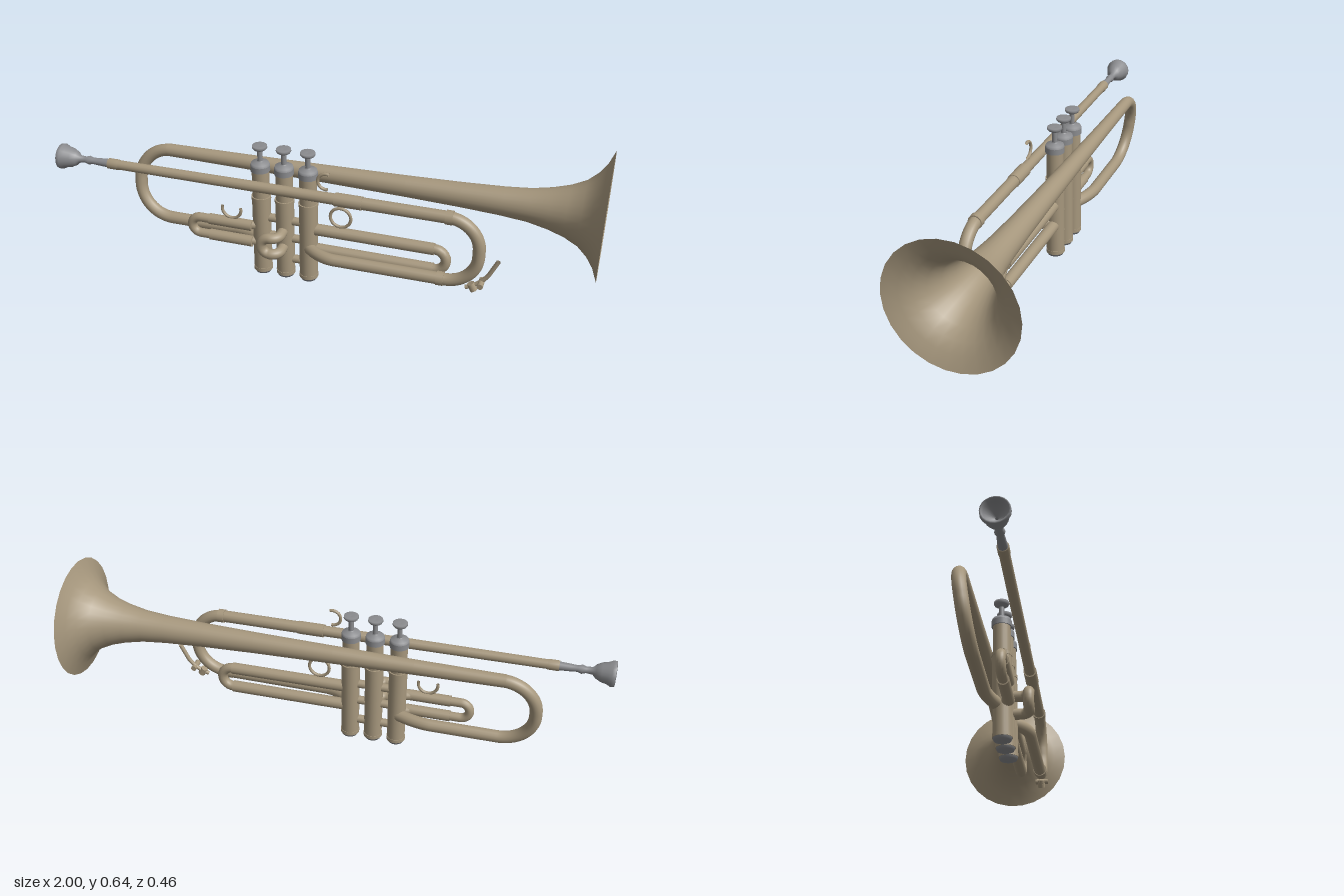
import * as THREE from 'three';

const brass = new THREE.MeshStandardMaterial({ color: 0xa6977d, side: THREE.DoubleSide });
brass.name = 'brass';
const silver = new THREE.MeshStandardMaterial({ color: 0x8b8c8f, side: THREE.DoubleSide });
silver.name = 'silver';

const V = (p) => new THREE.Vector3(...p);

// Path through points with circular-looking rounded corners
function roundedPath(points, radius) {
  const pts = points.map(V), path = new THREE.CurvePath();
  let from = pts[0];
  const line = (to) => {
    if (from.distanceTo(to) > 1e-4) path.add(new THREE.LineCurve3(from, to));
    from = to;
  };
  for (let i = 1; i < pts.length - 1; i++) {
    const c = pts[i], k = 0.552;
    const before = c.clone().sub(pts[i - 1]), after = pts[i + 1].clone().sub(c);
    const rIn = Math.min(radius, before.length() * (i > 1 ? 0.5 : 1));
    const rOut = Math.min(radius, after.length() * (i < pts.length - 2 ? 0.5 : 1));
    const r = Math.min(rIn, rOut);
    const a = c.clone().addScaledVector(before.normalize(), -r);
    const b = c.clone().addScaledVector(after.normalize(), r);
    line(a);
    path.add(new THREE.CubicBezierCurve3(a, a.clone().lerp(c, k), b.clone().lerp(c, k), b));
    from = b;
  }
  line(pts[pts.length - 1]);
  return path;
}

export function createModel() {
  const root = new THREE.Group();
  root.name = 'trumpet';

  const add = (name, geometry, material = brass, pos = [0, 0, 0], parent = root) => {
    const mesh = new THREE.Mesh(geometry, material);
    mesh.name = name;
    mesh.position.set(...pos);
    parent.add(mesh);
    return mesh;
  };
  const pipe = (name, points, r, corner = 0.04, segments = 90) =>
    add(name, new THREE.TubeGeometry(roundedPath(points, corner), segments, r, 14));
  // Lathe lying along x; profile pairs are [x, radius]
  const latheX = (name, profile, y, z, material, sides) => {
    const g = new THREE.LatheGeometry(profile.map(([x, r]) => new THREE.Vector2(r, x)), sides);
    return add(name, g.rotateZ(-Math.PI / 2), material, [0, y, z]);
  };
  // Short sleeve around a pipe running along x
  const ferrule = (name, x, y, z, r, length) =>
    add(name, new THREE.CylinderGeometry(r, r, length, 16).rotateZ(Math.PI / 2), brass, [x, y, z]);
  const hook = (name, pos, r, arc, start, tube = 0.006) =>
    add(name, new THREE.TorusGeometry(r, tube, 8, 28, arc).rotateZ(start), brass, pos);

  // Bell and its rear bend into the first valve
  latheX('bell', [[-0.63, 0.024], [-0.3, 0.028], [0, 0.033], [0.3, 0.039], [0.5, 0.045], [0.65, 0.052],
    [0.74, 0.06], [0.81, 0.074], [0.87, 0.092], [0.92, 0.116], [0.955, 0.147], [0.98, 0.181], [1, 0.228]],
  0.412, 0, brass, 26);
  pipe('bellBend', [[-0.6, 0.412, 0], [-0.745, 0.412, 0], [-0.745, 0.135, 0.037],
    [-0.29, 0.135, 0.037], [-0.225, 0.135, 0.075]], 0.0235, 0.13, 140);

  // Mouthpiece
  latheX('mouthpiece', [[-0.95, 0.005], [-0.965, 0.025], [-0.985, 0.037], [-1, 0.042], [-0.998, 0.047],
    [-0.985, 0.048], [-0.972, 0.041], [-0.95, 0.036], [-0.93, 0.026], [-0.918, 0.014], [-0.895, 0.012],
    [-0.88, 0.017], [-0.865, 0.012], [-0.84, 0.014], [-0.77, 0.018]], 0.406, 0.155, silver, 20);

  // Lead pipe and main tuning slide
  latheX('leadPipe', [[-0.8, 0.016], [-0.8, 0.02], [-0.76, 0.02], [-0.755, 0.018], [0.1, 0.021]],
    0.406, 0.155, brass, 16);
  pipe('mainTuningSlide', [[0.08, 0.406, 0.155], [0.6, 0.406, 0.155], [0.6, 0.15, 0.155],
    [0, 0.145, 0.152], [-0.043, 0.145, 0.09]], 0.0225, 0.115, 140);
  ferrule('slideSleeve', 0.13, 0.406, 0.155, 0.025, 0.1);
  for (const [x, y] of [[0.49, 0.406], [0.47, 0.15]]) ferrule('slideFerrule', x, y, 0.155, 0.026, 0.025);

  // First valve slide
  pipe('firstValveSlide', [[-0.225, 0.207, 0.09], [-0.27, 0.207, 0.11], [-0.498, 0.207, 0.11],
    [-0.498, 0.138, 0.11], [-0.27, 0.138, 0.11], [-0.225, 0.138, 0.09]], 0.0175, 0.035);
  for (const y of [0.207, 0.138]) ferrule('firstSlideSleeve', -0.34, y, 0.11, 0.021, 0.17);
  hook('thumbSaddle', [-0.335, 0.265, 0.11], 0.037, Math.PI * 1.15, Math.PI * 0.92);

  // Second valve slide, a small loop facing forward
  pipe('secondValveSlide', [[-0.134, 0.205, 0.09], [-0.134, 0.205, 0.172], [-0.198, 0.205, 0.172],
    [-0.198, 0.137, 0.172], [-0.134, 0.137, 0.172], [-0.134, 0.137, 0.09]], 0.0195, 0.033);

  // Third valve slide
  pipe('thirdValveSlide', [[-0.043, 0.22, 0.083], [0.474, 0.22, 0.083], [0.474, 0.135, 0.083],
    [-0.043, 0.135, 0.083]], 0.019, 0.042);
  for (const y of [0.22, 0.135]) ferrule('thirdSlideSleeve', 0.2, y, 0.083, 0.0225, 0.46);
  hook('fingerRing', [0.08, 0.288, 0.085], 0.039, Math.PI * 2, 0);
  hook('fingerHook', [0.047, 0.47, 0.155], 0.031, Math.PI * 1.15, Math.PI * 0.4);

  // Water key
  pipe('waterKeyLever', [[0.56, 0.128, 0.15], [0.62, 0.15, 0.142], [0.668, 0.25, 0.14]], 0.008, 0.05, 24);
  add('waterKeyPad', new THREE.CylinderGeometry(0.014, 0.014, 0.03, 12).rotateZ(0.5), brass, [0.585, 0.135, 0.15]);
  add('waterKeyPivot', new THREE.CylinderGeometry(0.011, 0.011, 0.05, 12).rotateX(Math.PI / 2), brass,
    [0.615, 0.155, 0.15]);

  // Three valves with caps, stems and buttons
  const ring = (r) => new THREE.Vector2(...r);
  const lathe = (profile) => new THREE.LatheGeometry(profile.map(ring), 20);
  const valveX = [-0.225, -0.134, -0.043];
  for (const x of valveX) {
    const valve = new THREE.Group();
    valve.name = 'valve';
    valve.position.set(x, 0, 0.084);
    root.add(valve);
    const cyl = (name, r, y0, y1, material) =>
      add(name, new THREE.CylinderGeometry(r, r, y1 - y0, 20), material, [0, (y0 + y1) / 2, 0], valve);
    cyl('valveCasing', 0.0345, 0.024, 0.32, brass);
    cyl('casingBand', 0.0365, 0.318, 0.33, brass);
    cyl('upperCasing', 0.032, 0.33, 0.44, brass);
    cyl('bottomCapRim', 0.036, 0.012, 0.026, brass);
    add('bottomCap', lathe([[0, 0.004], [0.012, 0], [0.03, 0.002], [0.034, 0.012]]), silver, [0, 0, 0], valve);
    cyl('topCapRim', 0.036, 0.436, 0.458, silver);
    add('topCap', lathe([[0.036, 0.458], [0.033, 0.467], [0.013, 0.472], [0.01, 0.476]]), silver,
      [0, 0, 0], valve);
    cyl('valveStem', 0.0095, 0.46, 0.528, silver);
    add('valveButton', lathe([[0.0095, 0.515], [0.024, 0.523], [0.028, 0.529], [0.027, 0.537], [0, 0.534]]),
      silver, [0, 0, 0], valve);
  }

  // Short connectors between neighbouring valves
  for (const x of [-0.18, -0.089]) {
    for (const y of [0.24, 0.165, 0.075]) ferrule('valveConnector', x, y, 0.084, 0.016, 0.05);
  }

  return root;
}
